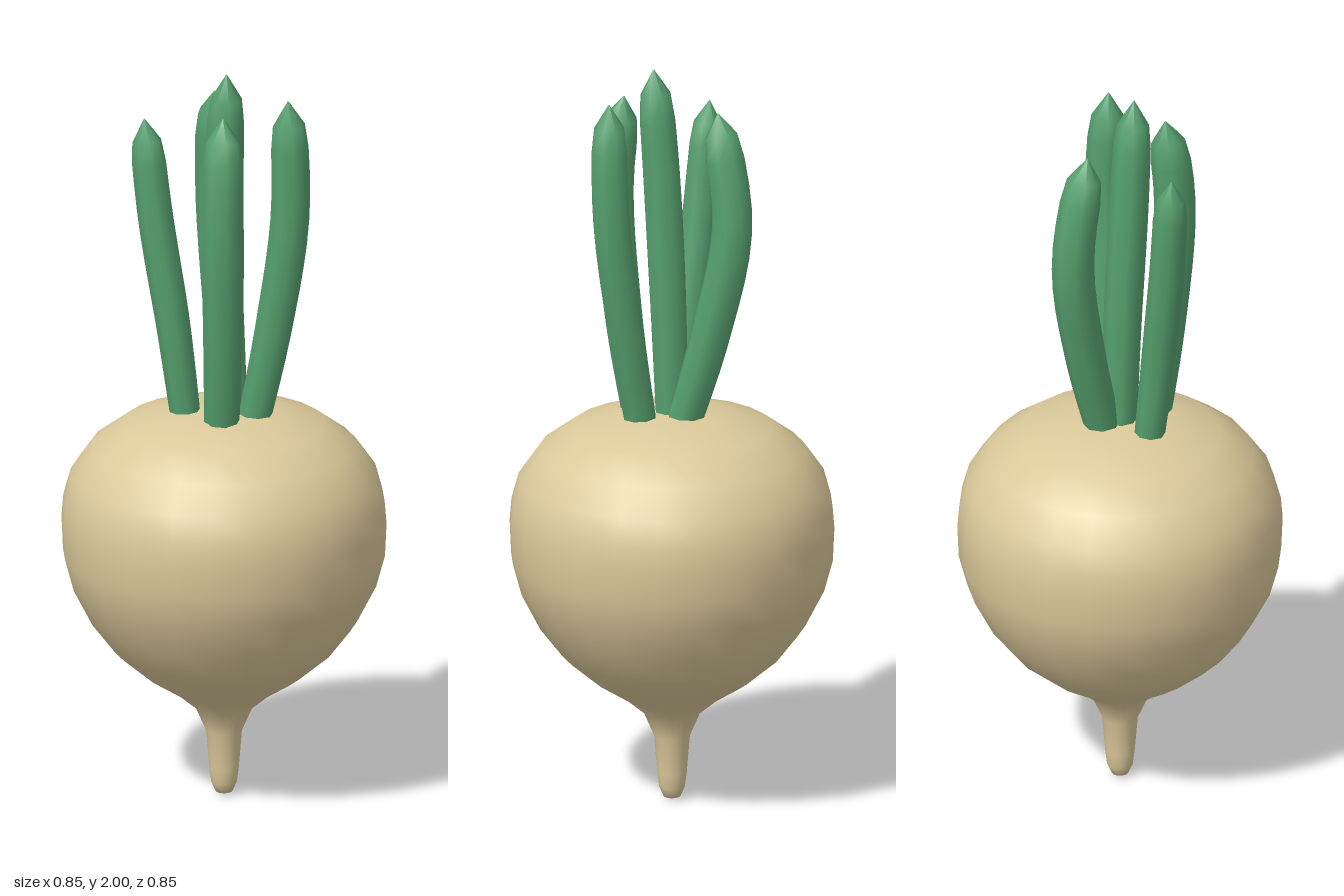
import * as THREE from 'three';

const rootMat = new THREE.MeshStandardMaterial({ name: 'cream root', color: 0xdbc99a });
const stemMat = new THREE.MeshStandardMaterial({ name: 'leaf green', color: 0x56a06f });

// Tapered, round-tipped tube: each ring is pulled towards its path point.
function makeStem(points, radius) {
  const rings = 14, sides = 8;
  const curve = new THREE.CatmullRomCurve3(points.map((p) => new THREE.Vector3(...p)));
  const geo = new THREE.TubeGeometry(curve, rings, 1, sides);
  const pos = geo.attributes.position;
  const v = new THREE.Vector3();
  for (let i = 0; i <= rings; i++) {
    const t = i / rings;
    const c = curve.getPointAt(t);
    const body = radius * (0.84 + 0.16 * Math.sin(Math.PI * Math.min(1, t * 0.85)));
    const tip = Math.sqrt(Math.max(0, 1 - Math.pow(Math.max(0, (t - 0.86) / 0.14), 2)));
    for (let j = 0; j <= sides; j++) {
      const k = i * (sides + 1) + j;
      v.fromBufferAttribute(pos, k).sub(c).multiplyScalar(Math.max(0.001, body * tip)).add(c);
      pos.setXYZ(k, v.x, v.y, v.z);
    }
  }
  geo.computeVertexNormals();
  // Average normals across the tube seam
  const n = geo.attributes.normal;
  const w = new THREE.Vector3();
  for (let i = 0; i <= rings; i++) {
    const a = i * (sides + 1), b = a + sides;
    v.fromBufferAttribute(n, a).add(w.fromBufferAttribute(n, b)).normalize();
    n.setXYZ(a, v.x, v.y, v.z);
    n.setXYZ(b, v.x, v.y, v.z);
  }
  return new THREE.Mesh(geo, stemMat);
}

export function createModel() {
  const group = new THREE.Group();
  group.name = 'rootVegetable';

  // Bulb and tap root in one turned profile
  const profile = [
    [0, 0.005], [0.022, 0.013], [0.034, 0.04], [0.039, 0.08], [0.047, 0.18], [0.075, 0.245],
    [0.125, 0.287], [0.205, 0.338], [0.29, 0.41], [0.35, 0.488], [0.4, 0.585], [0.423, 0.67],
    [0.427, 0.76], [0.422, 0.82], [0.403, 0.89], [0.35, 0.965], [0.265, 1.027], [0.14, 1.065], [0, 1.073],
  ].map(([r, y]) => new THREE.Vector2(r, y));
  const root = new THREE.Mesh(new THREE.LatheGeometry(profile, 24), rootMat);
  root.name = 'root';
  group.add(root);

  // Five curved stems
  const stems = {
    centreStem: [0.052, [[0, 1.03, 0], [0, 1.35, 0.01], [-0.005, 1.7, 0.03], [-0.003, 2.0, 0.052]]],
    rightStem: [0.047, [[-0.1, 1.03, 0], [-0.135, 1.3, 0], [-0.18, 1.6, -0.015], [-0.207, 1.865, -0.03]]],
    leftStem: [0.052, [[0.065, 1.03, 0.06], [0.115, 1.3, 0.085], [0.155, 1.62, 0.112], [0.148, 1.94, 0.122]]],
    frontStem: [0.055, [[-0.025, 1.03, 0.1], [-0.03, 1.3, 0.145], [-0.037, 1.65, 0.175], [-0.03, 1.91, 0.145]]],
    backStem: [0.056, [[0.022, 1.03, -0.035], [0.02, 1.3, -0.115], [0.012, 1.6, -0.172], [0, 1.9, -0.128]]],
  };
  for (const [name, [radius, points]] of Object.entries(stems)) {
    const stem = makeStem(points, radius);
    stem.name = name;
    group.add(stem);
  }
  return group;
}
